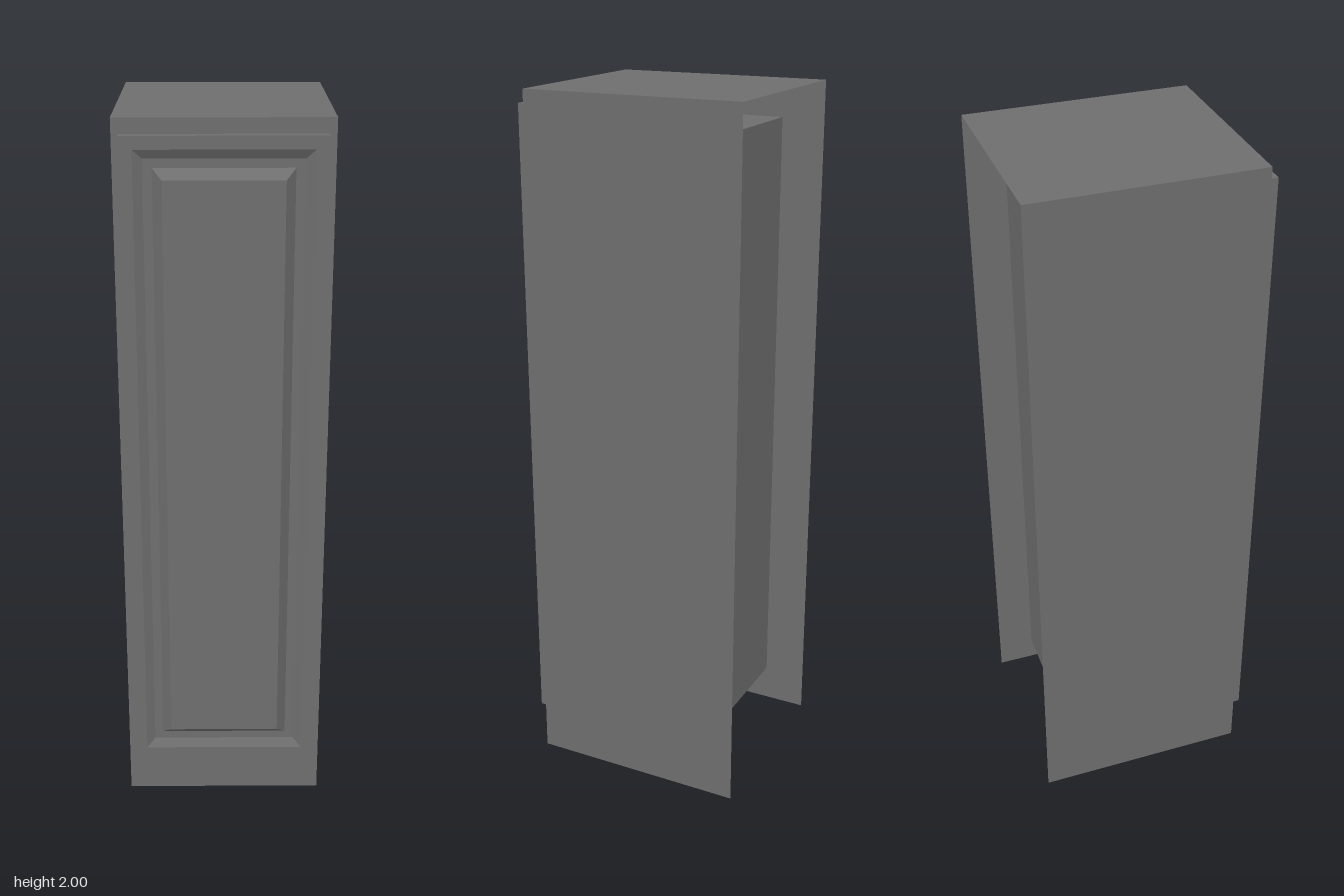
import * as THREE from 'three';

const gray = new THREE.MeshStandardMaterial({ color: 0x6e6e6e, side: THREE.DoubleSide });
gray.name = 'cabinet gray';

const W = 0.281, H = 2, BACK = -0.337, FRONT = 0.292;

// Joins rectangular loops [half width, bottom, top, z]; the last one may be closed.
function rectLoft(name, sections, cap) {
  const pos = [];
  const corners = ([w, y0, y1, z]) => [[-w, y0, z], [w, y0, z], [w, y1, z], [-w, y1, z]];
  const quad = (a, b, c, d) => pos.push(...a, ...b, ...c, ...a, ...c, ...d);
  for (let s = 0; s < sections.length - 1; s++) {
    const a = corners(sections[s]), b = corners(sections[s + 1]);
    for (let i = 0; i < 4; i++) {
      const j = (i + 1) % 4;
      quad(a[i], a[j], b[j], b[i]);
    }
  }
  if (cap) quad(...corners(sections[sections.length - 1]));
  const geo = new THREE.BufferGeometry();
  geo.setAttribute('position', new THREE.Float32BufferAttribute(pos, 3));
  geo.computeVertexNormals();
  const mesh = new THREE.Mesh(geo, gray);
  mesh.name = name;
  return mesh;
}

export function createModel() {
  const group = new THREE.Group();
  group.name = 'tallCabinet';
  const depth = FRONT - BACK, midZ = (FRONT + BACK) / 2;

  // Thin side walls; back and bottom stay open
  for (const s of [1, -1]) {
    const side = new THREE.Mesh(new THREE.PlaneGeometry(depth, H), gray);
    side.name = s > 0 ? 'leftSide' : 'rightSide';
    side.rotation.y = s * Math.PI / 2;
    side.position.set(s * W, H / 2, midZ);
    group.add(side);
  }

  // Top sheet
  const top = new THREE.Mesh(new THREE.PlaneGeometry(2 * W, depth), gray);
  top.name = 'top';
  top.rotation.x = -Math.PI / 2;
  top.position.set(0, H, midZ);
  group.add(top);

  // Front frame around the opening, and the inner compartment behind it
  const opening = [0.185, 0.17, 1.905];
  group.add(rectLoft('frontFrame', [[W, 0, H, FRONT], [...opening, FRONT]], false));
  group.add(rectLoft('innerCompartment', [[...opening, FRONT], [...opening, -0.25]], true));

  // Door: edge, flat border, bevelled groove and raised centre panel
  group.add(rectLoft('door', [
    [0.262, 0.127, 1.96, FRONT],
    [0.262, 0.127, 1.96, 0.32],
    [0.228, 0.161, 1.926, 0.32],
    [0.204, 0.187, 1.902, 0.307],
    [0.18, 0.21, 1.879, 0.307],
    [0.155, 0.236, 1.853, 0.336],
  ], true));

  return group;
}
